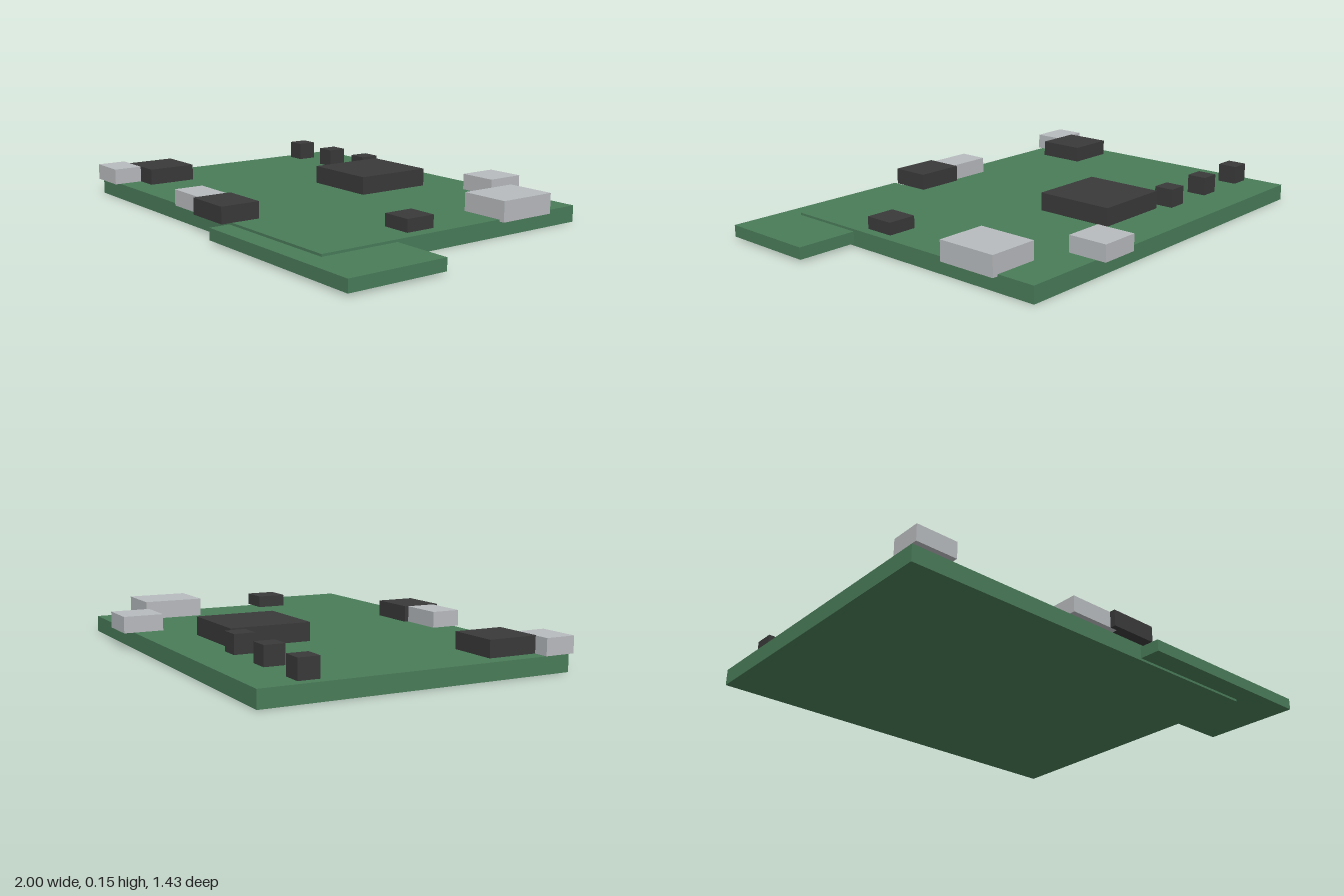
import * as THREE from 'three';

export function createModel() {
  const model = new THREE.Group();
  model.name = 'circuitBoard';

  const material = (name, color) => {
    const m = new THREE.MeshStandardMaterial({ color });
    m.name = name;
    return m;
  };
  const green = material('boardGreen', 0x4a7c59);
  const dark = material('chipDark', 0x3a3a3a);
  const silver = material('connectorSilver', 0xb8bbbe);

  // Box placed by its x, y and z extents
  const block = (name, mat, [x0, x1], [y0, y1], [z0, z1]) => {
    const mesh = new THREE.Mesh(new THREE.BoxGeometry(x1 - x0, y1 - y0, z1 - z0), mat);
    mesh.position.set((x0 + x1) / 2, (y0 + y1) / 2, (z0 + z1) / 2);
    mesh.name = name;
    model.add(mesh);
  };

  // Main board and the thinner board tucked into its front corner
  block('mainBoard', green, [-1, 0.735], [0, 0.07], [-0.675, 0.625]);
  block('sideBoard', green, [0.13, 1], [0.01, 0.06], [0.283, 0.715]);

  // Processor and row of small components along the back
  block('processor', dark, [-0.305, 0.04], [0.07, 0.148], [-0.46, -0.11]);
  [-0.915, -0.655, -0.397].forEach((x, i) =>
    block(`smallComponent${i + 1}`, dark, [x - 0.043, x + 0.043], [0.07, 0.15], [-0.505, -0.418]));

  // Larger chips
  block('cornerChip', dark, [-0.935, -0.72], [0.07, 0.14], [0.305, 0.52]);
  block('frontChip', dark, [-0.065, 0.15], [0.07, 0.14], [0.5, 0.672]);
  block('sideChip', dark, [0.585, 0.713], [0.08, 0.132], [0.087, 0.217]);

  // Metal connectors around the edges
  block('sidePort', silver, [0.54, 0.76], [0.062, 0.148], [-0.505, -0.24]);
  block('backPort', silver, [0.213, 0.387], [0.07, 0.14], [-0.718, -0.545]);
  block('cornerPort', silver, [-1, -0.825], [0.07, 0.139], [0.518, 0.648]);
  block('frontPort', silver, [-0.262, -0.03], [0.07, 0.139], [0.518, 0.648]);

  return model;
}
